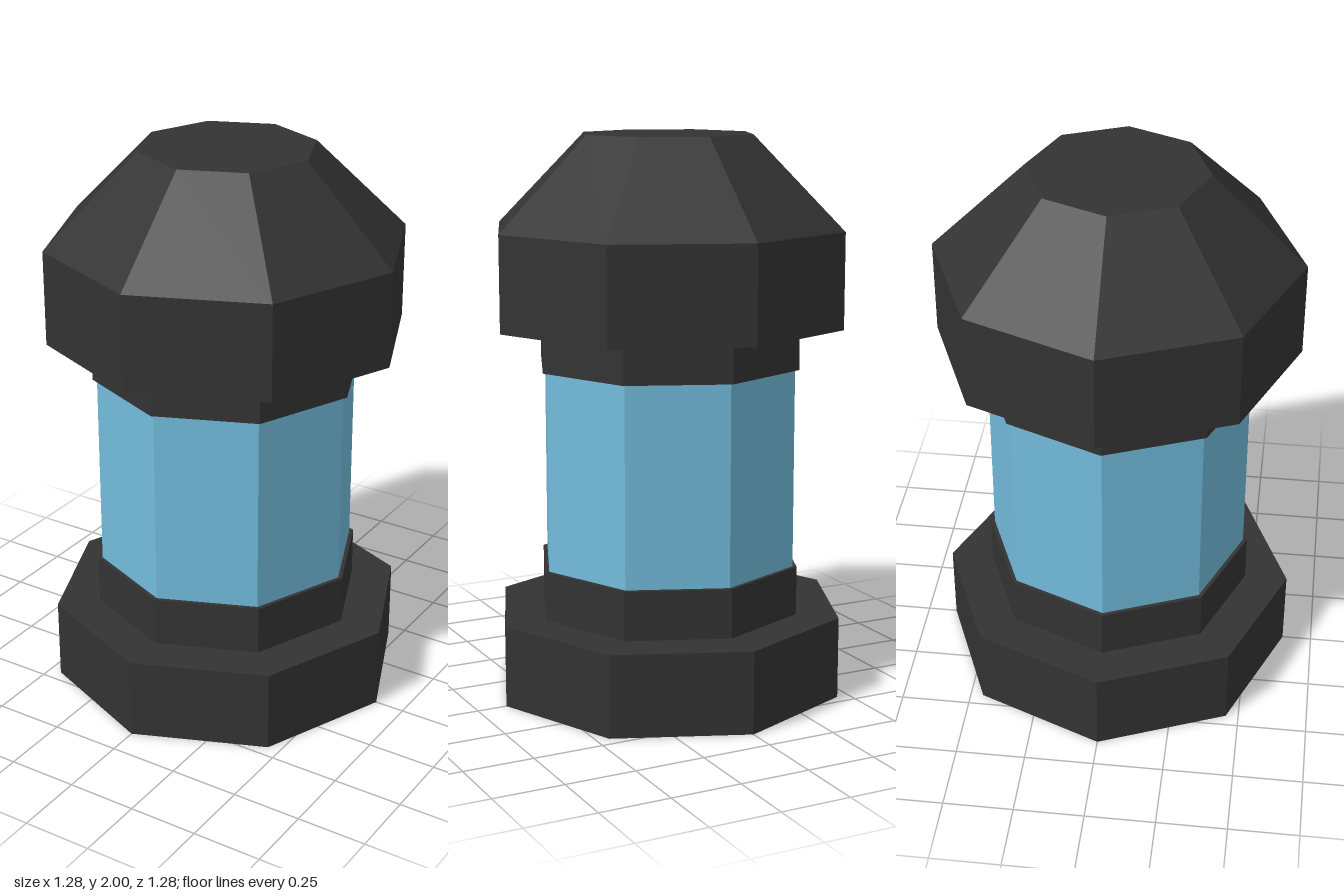
import * as THREE from 'three';

const SIDES = 8;
const darkMaterial = new THREE.MeshStandardMaterial({ color: 0x333333, flatShading: true });
const glassMaterial = new THREE.MeshStandardMaterial({ color: 0x72bbdb, flatShading: true });

// Octagonal solid from [radius, height] pairs, listed bottom to top
function octagonalPart(name, profile, material) {
  const points = profile.map(([r, y]) => new THREE.Vector2(r, y));
  const mesh = new THREE.Mesh(new THREE.LatheGeometry(points, SIDES), material);
  mesh.name = name;
  return mesh;
}

export function createModel() {
  const model = new THREE.Group();
  model.name = 'canister';

  // Wide foot with a narrower collar holding the glass
  model.add(octagonalPart('base', [
    [0, 0], [0.642, 0], [0.642, 0.295], [0.485, 0.295], [0.485, 0.472], [0, 0.472],
  ], darkMaterial));

  // Clear tube, seated slightly inside both collars
  const glass = new THREE.Mesh(
    new THREE.CylinderGeometry(0.47, 0.47, 0.75, SIDES, 1, true), glassMaterial);
  glass.name = 'glassTube';
  glass.position.y = 0.83;
  model.add(glass);

  // Collar, wide rim and tapered flat-topped cap
  model.add(octagonalPart('cap', [
    [0, 1.185], [0.485, 1.185], [0.485, 1.333], [0.642, 1.333],
    [0.642, 1.673], [0.312, 2], [0, 2],
  ], darkMaterial));

  return model;
}
